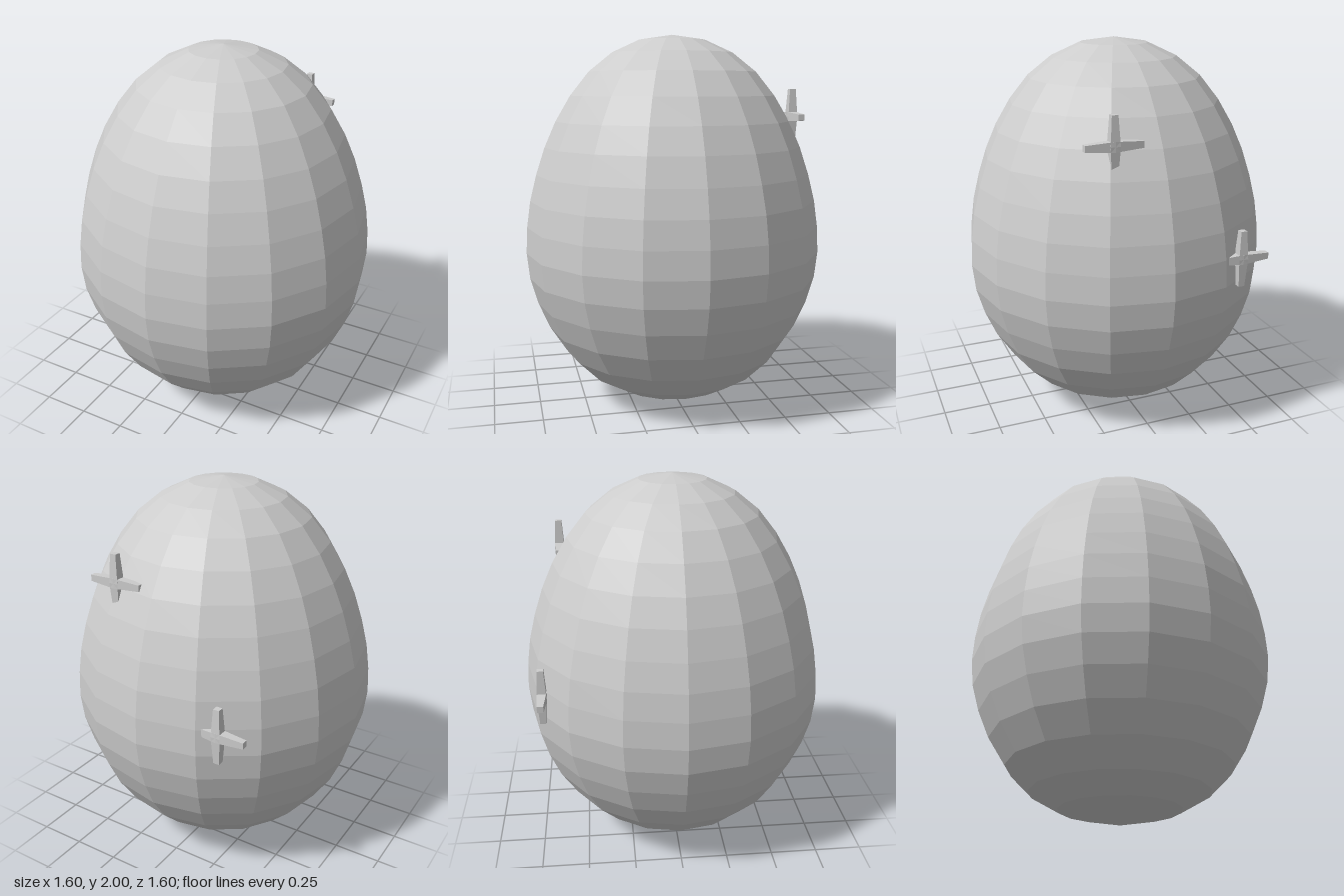
import * as THREE from 'three';

export function createModel() {
  const model = new THREE.Group();
  const grey = new THREE.MeshStandardMaterial({ color: 0xcccccc, flatShading: true });
  grey.name = 'light grey';

  // Egg: profile as [radius, height], turned in 16 flat sides
  const profile = [
    [0, 0], [0.32, 0.075], [0.47, 0.16], [0.595, 0.285], [0.685, 0.425],
    [0.745, 0.565], [0.785, 0.705], [0.8, 0.845], [0.793, 0.985], [0.773, 1.125],
    [0.738, 1.265], [0.69, 1.41], [0.63, 1.545], [0.55, 1.68], [0.45, 1.805],
    [0.325, 1.905], [0.177, 1.973], [0, 2],
  ].map(([r, y]) => new THREE.Vector2(r, y));
  const egg = new THREE.Mesh(new THREE.LatheGeometry(profile, 16), grey);
  egg.name = 'egg';
  model.add(egg);

  // One tapered square arm, starting at the middle of a sparkle
  const armLength = 0.145;
  const armGeometry = new THREE.CylinderGeometry(0.016 * Math.SQRT2, 0.025 * Math.SQRT2, armLength, 4);
  armGeometry.rotateY(Math.PI / 4);
  armGeometry.translate(0, armLength / 2, 0);

  // Four-armed sparkle lying in the x-y plane
  function sparkle(name, x, y, z) {
    const group = new THREE.Group();
    group.name = name;
    for (let i = 0; i < 4; i++) {
      const arm = new THREE.Mesh(armGeometry, grey);
      arm.name = 'sparkleArm';
      arm.rotation.z = i * Math.PI / 2;
      group.add(arm);
    }
    group.position.set(x, y, z);
    model.add(group);
  }
  sparkle('upperSparkle', 0.232, 1.57, -0.597);
  sparkle('lowerSparkle', -0.407, 0.97, -0.698);

  return model;
}
